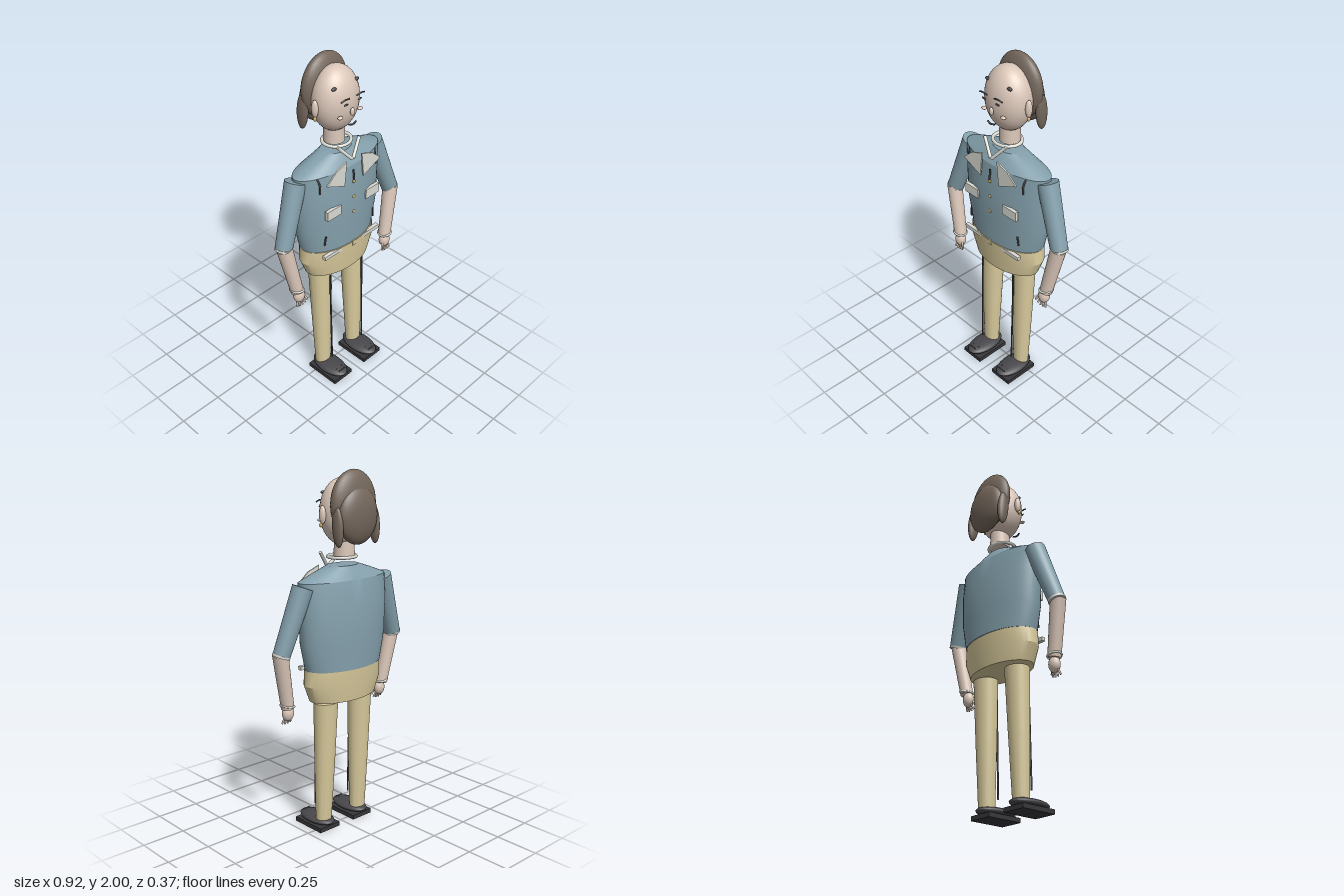
import * as THREE from 'three';
import { toCreasedNormals } from 'three/addons/utils/BufferGeometryUtils.js';

const mat = (color) => new THREE.MeshStandardMaterial({ color, side: THREE.DoubleSide });
const M = {
  shirt: mat(0x84a0ac), tan: mat(0xd8ca9c), skin: mat(0xdcc8ba), hair: mat(0x74675c),
  shoe: mat(0x48484c), sole: mat(0x37373a), white: mat(0xdcdcd4), gold: mat(0xc8a860), dark: mat(0x4a4a4a),
};
const V = (p) => new THREE.Vector3(...p);

// Stack of elliptical rings [y, rx, rz, cx, cz], bottom to top, capped at both ends
function loft(rings, seg = 48) {
  const first = rings[0], last = rings.at(-1);
  const cap = (r) => [r[0], 0, 0, r[3], r[4]];
  const all = [cap(first), ...rings, cap(last)];
  const pos = [], index = [];
  all.forEach(([y, rx, rz, cx, cz], i) => {
    for (let j = 0; j <= seg; j++) {
      const t = (j / seg) * Math.PI * 2;
      pos.push(cx + rx * Math.sin(t), y, cz + rz * Math.cos(t));
      if (i && j) {
        const c = i * (seg + 1) + j, b = c - seg - 1;
        if (i > 1) index.push(b - 1, b, c);
        if (i < all.length - 1) index.push(b - 1, c, c - 1);
        else index.push(b - 1, b, c);
      }
    }
  });
  const g = new THREE.BufferGeometry();
  g.setAttribute('position', new THREE.Float32BufferAttribute(pos, 3));
  g.setIndex(index);
  return toCreasedNormals(g, 0.4);
}

export function createModel() {
  const root = new THREE.Group();
  const add = (name, geo, m, p = [0, 0, 0], parent = root) => {
    const mesh = new THREE.Mesh(geo, m);
    mesh.name = name;
    mesh.position.set(...p);
    parent.add(mesh);
    return mesh;
  };
  const ball = (name, m, p, r, parent = root) => {
    const mesh = add(name, new THREE.SphereGeometry(1, 32, 20), m, p, parent);
    mesh.scale.set(...r);
    return mesh;
  };
  const box = (name, m, p, s, parent) => add(name, new THREE.BoxGeometry(...s), m, p, parent);
  const tube = (name, m, pts, r, parent) =>
    add(name, new THREE.TubeGeometry(new THREE.CatmullRomCurve3(pts.map(V)), 12, r, 8), m, [0, 0, 0], parent);
  // Tapered limb from point a to point b
  const limb = (name, m, a, b, ra, rb, parent) => {
    const A = V(a), B = V(b), d = A.clone().sub(B);
    const mesh = add(name, new THREE.CylinderGeometry(ra, rb, d.length(), 32), m,
      A.clone().add(B).multiplyScalar(0.5).toArray(), parent);
    mesh.quaternion.setFromUnitVectors(new THREE.Vector3(0, 1, 0), d.normalize());
    return mesh;
  };
  const ring = (name, m, p, r, t, parent) => {
    const mesh = add(name, new THREE.TorusGeometry(r, t, 10, 36), m, p, parent);
    mesh.rotation.x = Math.PI / 2;
    return mesh;
  };

  // Shirt and hips
  add('shirt', loft([
    [0.95, 0.25, 0.135, 0, -0.018], [1.1, 0.285, 0.137, 0, -0.018], [1.29, 0.293, 0.136, 0, -0.018],
    [1.43, 0.298, 0.112, 0, -0.014], [1.47, 0.19, 0.085, 0, -0.014], [1.5, 0.1, 0.066, 0, -0.016],
  ]), M.shirt);
  add('hips', loft([
    [0.77, 0.22, 0.119, 0, -0.013], [0.865, 0.258, 0.13, 0, -0.014], [0.95, 0.251, 0.136, 0, -0.014],
  ]), M.tan);
  [1.34, 1.245, 1.15].forEach((y) => ball('button', M.gold, [0, y, 0.117], [0.01, 0.01, 0.006]));
  tube('placketFold', M.dark, [[0, 1.41, 0.112], [0, 1.35, 0.118]], 0.005);
  box('waistTab', M.tan, [0, 0.94, 0.118], [0.02, 0.03, 0.012]);

  // Neck and collar
  add('neck', new THREE.CylinderGeometry(0.054, 0.057, 0.1, 32), M.skin, [0, 1.585, -0.028]);
  const collar = ring('collarBand', M.white, [0, 1.542, -0.01], 0.072, 0.009);
  collar.scale.x = 1.1;

  // Head and hair
  ball('head', M.skin, [0, 1.78, -0.02], [0.136, 0.178, 0.112]);
  ball('hairCap', M.hair, [0, 1.825, -0.097], [0.152, 0.175, 0.061]);
  ball('hairBack', M.hair, [0, 1.765, -0.13], [0.132, 0.15, 0.056]);
  ball('nose', M.skin, [0, 1.745, 0.1], [0.013, 0.022, 0.01]);
  tube('mouth', M.dark, [[-0.026, 1.681, 0.1], [0, 1.676, 0.104], [0.026, 1.681, 0.1]], 0.005);

  for (const s of [1, -1]) {
    const side = new THREE.Group();
    side.name = s > 0 ? 'leftSide' : 'rightSide';
    root.add(side);

    // Face details
    ball('eye', M.dark, [s * 0.048, 1.8, 0.103], [0.015, 0.005, 0.005], side);
    tube('eyebrow', M.dark, [[s * 0.025, 1.826, 0.103], [s * 0.055, 1.832, 0.106], [s * 0.082, 1.824, 0.1]], 0.004, side);
    ball('cheek', M.skin, [s * 0.07, 1.73, 0.085], [0.016, 0.008, 0.012], side);
    ball('templeSpot', M.dark, [s * 0.078, 1.878, 0.05], [0.016, 0.009, 0.009], side);
    ball('ear', M.skin, [s * 0.143, 1.77, -0.018], [0.017, 0.048, 0.019], side);
    ball('earring', M.gold, [s * 0.149, 1.718, -0.012], [0.009, 0.012, 0.009], side);
    const lock = ball('sideLock', M.hair, [s * 0.13, 1.715, -0.12], [0.022, 0.105, 0.036], side);
    lock.rotation.x = 0.08;

    // Collar points, lapel, pockets and folds
    limb('collarPoint', M.white, [s * 0.078, 1.56, 0.075], [s * 0.004, 1.475, 0.105], 0.009, 0.009, side);
    const flap = new THREE.Shape([[0.055, 1.485], [0.135, 1.455], [0.198, 1.4], [0.07, 1.343]]
      .map(([x, y]) => new THREE.Vector2(s * x, y)));
    add('lapel', new THREE.ExtrudeGeometry(flap, { depth: 0.008, bevelEnabled: false }), M.white, [0, 0, 0.111], side);
    box('chestPocket', M.white, [s * 0.145, 1.208, 0.108], [0.1, 0.056, 0.02], side);
    box('hipPocket', M.white, [s * 0.14, 0.936, 0.102], [0.14, 0.022, 0.022], side);
    tube('shoulderFold', M.dark, [[s * 0.213, 1.43, 0.06], [s * 0.206, 1.39, 0.074], [s * 0.206, 1.34, 0.076]], 0.005, side);
    tube('waistFold', M.dark, [[s * 0.182, 1.06, 0.09], [s * 0.188, 1.005, 0.086]], 0.005, side);

    // Arm
    limb('sleeve', M.shirt, [s * 0.283, 1.41, -0.022], [s * 0.41, 1.06, 0.008], 0.058, 0.047, side);
    const cuff = limb('sleeveCuff', M.white, [s * 0.408, 1.066, 0.008], [s * 0.412, 1.054, 0.009], 0.049, 0.048, side);
    cuff.name = 'sleeveCuff';
    limb('forearm', M.skin, [s * 0.411, 1.07, 0.015], [s * 0.352, 0.76, 0.035], 0.043, 0.036, side);
    const band = ring('wristBand', M.white, [s * 0.354, 0.772, 0.035], 0.037, 0.006, side);
    band.rotation.y = s * 0.18;
    ball('hand', M.skin, [s * 0.345, 0.727, 0.042], [0.034, 0.045, 0.03], side);
    for (let i = 0; i < 4; i++) {
      const x = 0.327 + i * 0.012;
      limb('finger', M.skin, [s * x, 0.705, 0.045], [s * (x + (i - 1.5) * 0.007), 0.66 + Math.abs(i - 1.5) * 0.005, 0.058],
        0.006, 0.005, side);
    }
    limb('thumb', M.skin, [s * 0.322, 0.725, 0.05], [s * 0.303, 0.685, 0.062], 0.007, 0.005, side);

    // Leg with front crease
    add('trouserLeg', loft([
      [0.06, 0.047, 0.042, s * 0.13, 0.0], [0.4, 0.06, 0.054, s * 0.128, -0.008], [0.757, 0.071, 0.064, s * 0.126, -0.017],
    ], 32), M.tan, [0, 0, 0], side);
    tube('trouserCrease', M.dark, [[s * 0.127, 0.745, 0.064], [s * 0.127, 0.43, 0.07], [s * 0.127, 0.12, 0.076]], 0.005, side);

    // Shoe
    box('sole', M.sole, [s * 0.126, 0.0125, 0.06], [0.142, 0.025, 0.217], side);
    ball('shoe', M.shoe, [s * 0.127, 0.045, 0.06], [0.069, 0.027, 0.125], side);
    for (const z of [0.13, 0.155])
      tube('lace', M.dark, [[s * 0.127 - 0.025, 0.064, z], [s * 0.127 + 0.025, 0.064, z]], 0.003, side);
  }
  return root;
}
